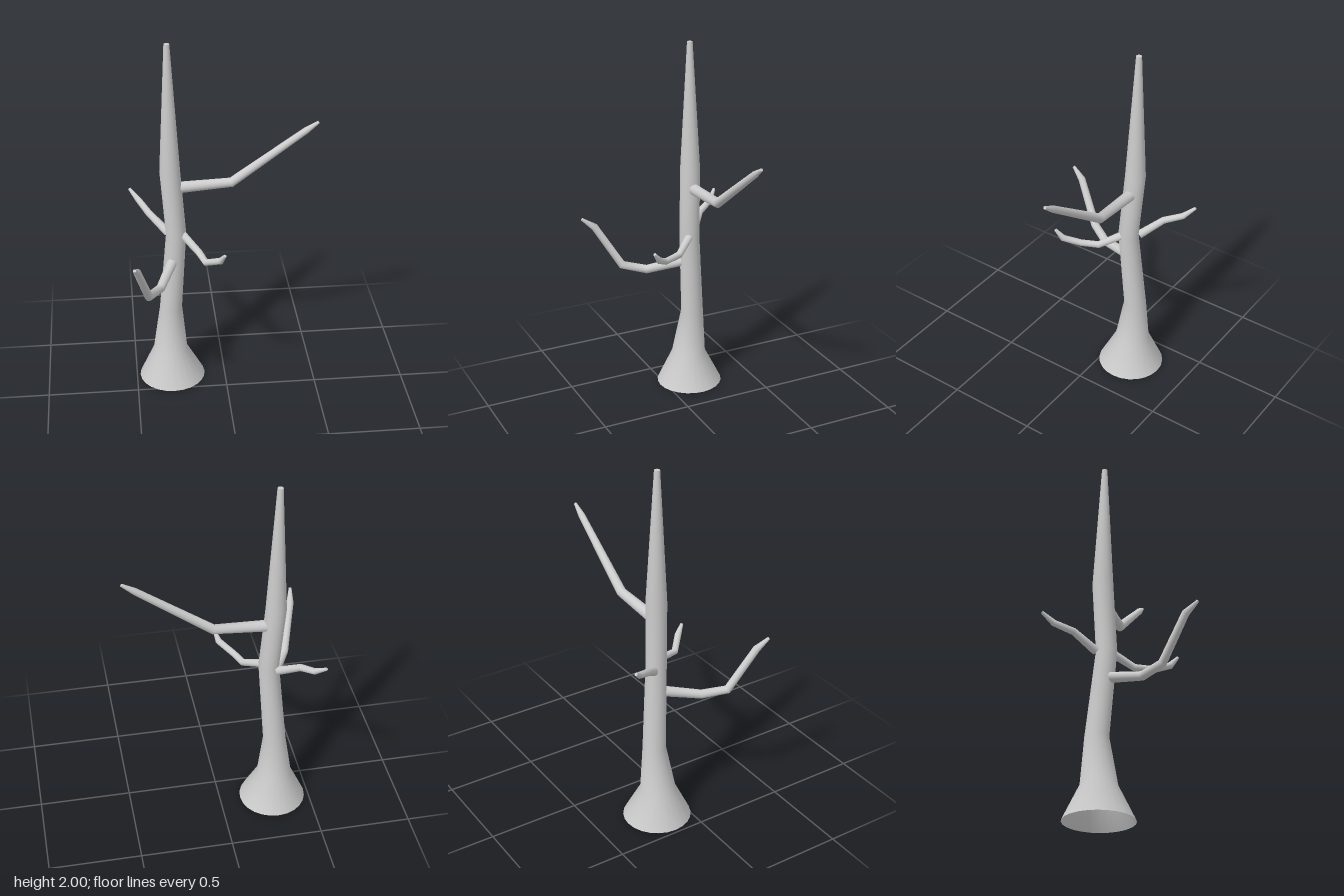
import * as THREE from 'three';

const SIDES = 24;
const UP = new THREE.Vector3(0, 1, 0);
const material = new THREE.MeshStandardMaterial({ color: 0xcccccc, side: THREE.DoubleSide });

// Lofts round rings [x, y, z, radius] along a bent path; the start stays open, the end is capped.
function limb(name, rings, level = false) {
  const centres = rings.map(([x, y, z]) => new THREE.Vector3(x, y, z));
  const last = rings.length - 1;
  const positions = [];
  const indices = [];
  const q = new THREE.Quaternion();
  const direction = (a, b) => centres[b].clone().sub(centres[a]).normalize();

  const addRing = (i) => {
    const tangent = direction(Math.max(i - 1, 0), Math.max(i, 1));
    if (i > 0 && i < last) tangent.add(direction(i, i + 1)).normalize();
    q.setFromUnitVectors(UP, level ? UP : tangent);
    for (let s = 0; s < SIDES; s++) {
      const a = (s / SIDES) * Math.PI * 2;
      const p = new THREE.Vector3(Math.cos(a), 0, -Math.sin(a));
      p.multiplyScalar(rings[i][3]).applyQuaternion(q).add(centres[i]);
      positions.push(p.x, p.y, p.z);
    }
  };

  // bark walls
  rings.forEach((_, i) => addRing(i));
  for (let i = 0; i < last; i++) {
    for (let s = 0; s < SIDES; s++) {
      const a = i * SIDES + s;
      const b = i * SIDES + ((s + 1) % SIDES);
      indices.push(a, b, b + SIDES, a, b + SIDES, a + SIDES);
    }
  }

  // tip cap with its own ring, so that the edge stays sharp
  const first = positions.length / 3;
  addRing(last);
  positions.push(...centres[last].toArray());
  for (let s = 0; s < SIDES; s++) {
    indices.push(first + SIDES, first + s, first + ((s + 1) % SIDES));
  }

  const geometry = new THREE.BufferGeometry();
  geometry.setAttribute('position', new THREE.Float32BufferAttribute(positions, 3));
  geometry.setIndex(indices);
  geometry.computeVertexNormals();
  const mesh = new THREE.Mesh(geometry, material);
  mesh.name = name;
  return mesh;
}

export function createModel() {
  const tree = new THREE.Group();
  tree.name = 'bareTree';

  // trunk with flared, open foot
  tree.add(limb('trunk', [
    [-0.298, 0, -0.153, 0.184],
    [-0.306, 0.18, -0.153, 0.095],
    [-0.297, 0.44, -0.171, 0.062],
    [-0.262, 0.92, -0.137, 0.055],
    [-0.288, 1.29, -0.154, 0.055],
    [-0.29, 2, -0.153, 0.015],
  ], true));

  // long upper branch
  tree.add(limb('upperBranch', [
    [-0.25, 1.19, -0.153, 0.031],
    [0.04, 1.207, -0.155, 0.026],
    [0.435, 1.493, -0.154, 0.018],
    [0.5, 1.538, -0.154, 0.008],
  ]));

  // lower branch reaching forward
  tree.add(limb('frontBranch', [
    [-0.288, 0.758, -0.11, 0.028],
    [-0.362, 0.713, 0.08, 0.024],
    [-0.43, 0.737, 0.2, 0.023],
    [-0.488, 0.967, 0.335, 0.02],
    [-0.503, 1.018, 0.402, 0.008],
  ]));

  // short hooked branch
  tree.add(limb('hookedBranch', [
    [-0.225, 0.92, -0.115, 0.022],
    [-0.148, 0.864, -0.02, 0.019],
    [-0.118, 0.854, 0.076, 0.018],
    [-0.046, 0.9, 0.145, 0.018],
    [-0.028, 0.95, 0.182, 0.008],
  ]));

  // branch reaching backward
  tree.add(limb('backBranch', [
    [-0.305, 0.907, -0.18, 0.023],
    [-0.402, 0.983, -0.27, 0.019],
    [-0.453, 1.019, -0.36, 0.017],
    [-0.5, 1.065, -0.41, 0.008],
  ]));

  return tree;
}
